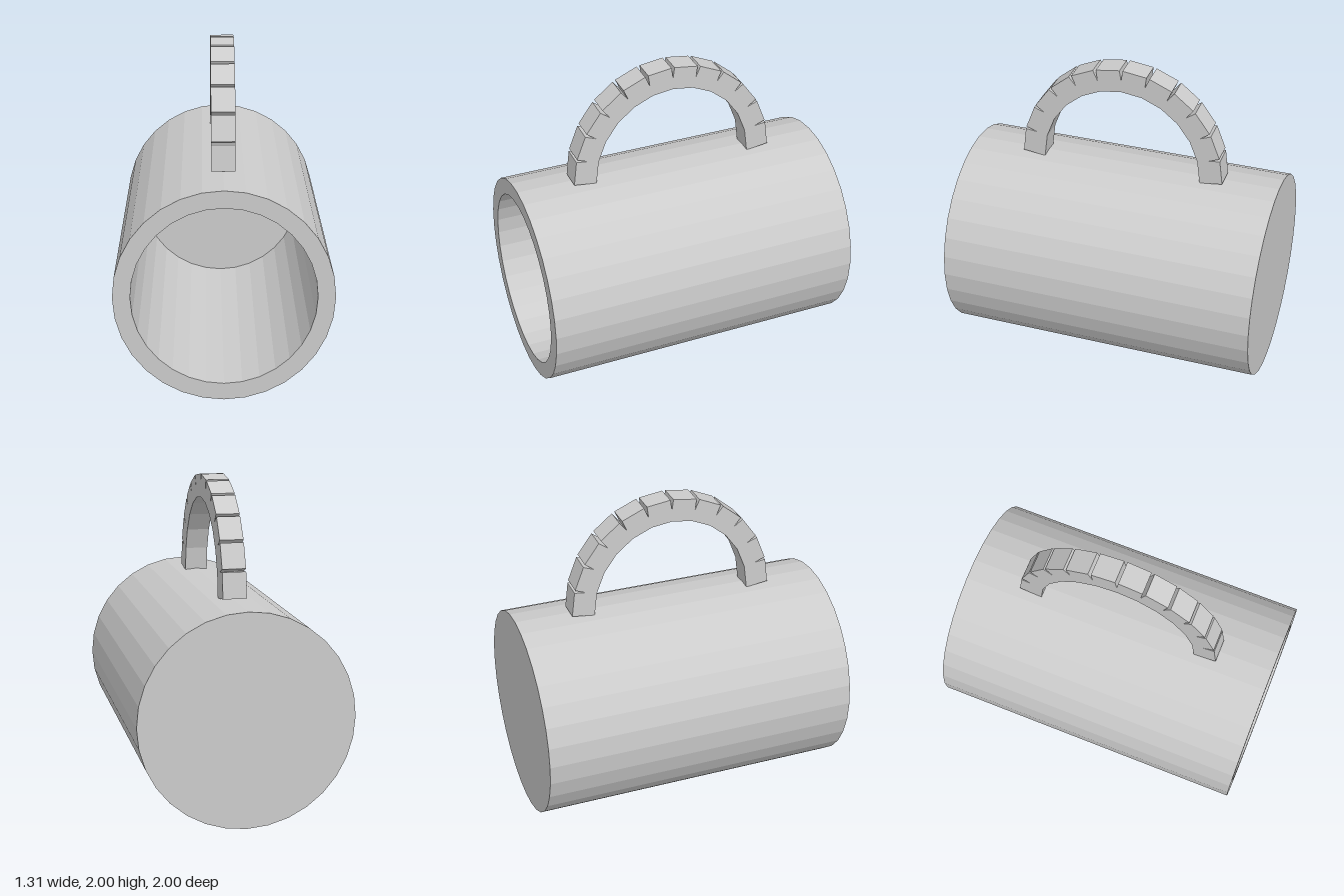
import * as THREE from 'three';

const R = 0.655, INNER = 0.55, SIDES = 32;

export function createModel() {
  const group = new THREE.Group();
  const material = new THREE.MeshStandardMaterial({ color: 0xcccccc, flatShading: true });
  const add = (name, geometry) => {
    const mesh = new THREE.Mesh(geometry, material);
    mesh.name = name;
    group.add(mesh);
    return mesh;
  };

  // Hollow cup lying on its side, open towards the front
  const profile = [[0, -1], [R, -1], [R, 1], [INNER, 1], [INNER, -0.9], [0, -0.9]]
    .map(([x, y]) => new THREE.Vector2(x, y));
  add('cup', new THREE.LatheGeometry(profile, SIDES).rotateX(Math.PI / 2)).position.y = R;

  // Arched handle: straight blocks that meet on the centreline, notched on the outside
  const blocks = 12, half = 0.0725, width = 0.146, baseY = 2 * R;
  const joints = [];
  for (let i = 0; i <= blocks; i++) {
    const t = (i / blocks) * Math.PI;
    joints.push(new THREE.Vector2(0.583 * Math.cos(t), baseY + 0.618 * Math.sin(t)));
  }
  const normals = joints.slice(1).map((p, i) => {
    const d = p.clone().sub(joints[i]).normalize();
    return new THREE.Vector2(d.y, -d.x);
  });
  const offset = (p, n, s) => p.clone().addScaledVector(n, s);
  const outline = [];
  normals.forEach((n, i) => {
    outline.push(offset(joints[i], n, half), offset(joints[i + 1], n, half));
    if (i < blocks - 1) outline.push(joints[i + 1]); // notch apex
  });
  for (let i = blocks; i >= 0; i--) { // mitred inner edge
    const a = normals[Math.max(i - 1, 0)], b = normals[Math.min(i, blocks - 1)];
    const m = a.clone().add(b).normalize();
    outline.push(offset(joints[i], m, -half / m.dot(a)));
  }
  add('handle', new THREE.ExtrudeGeometry(new THREE.Shape(outline), { depth: width, bevelEnabled: false })
    .translate(0, 0, -width / 2)
    .rotateY(-Math.PI / 2));

  return group;
}
